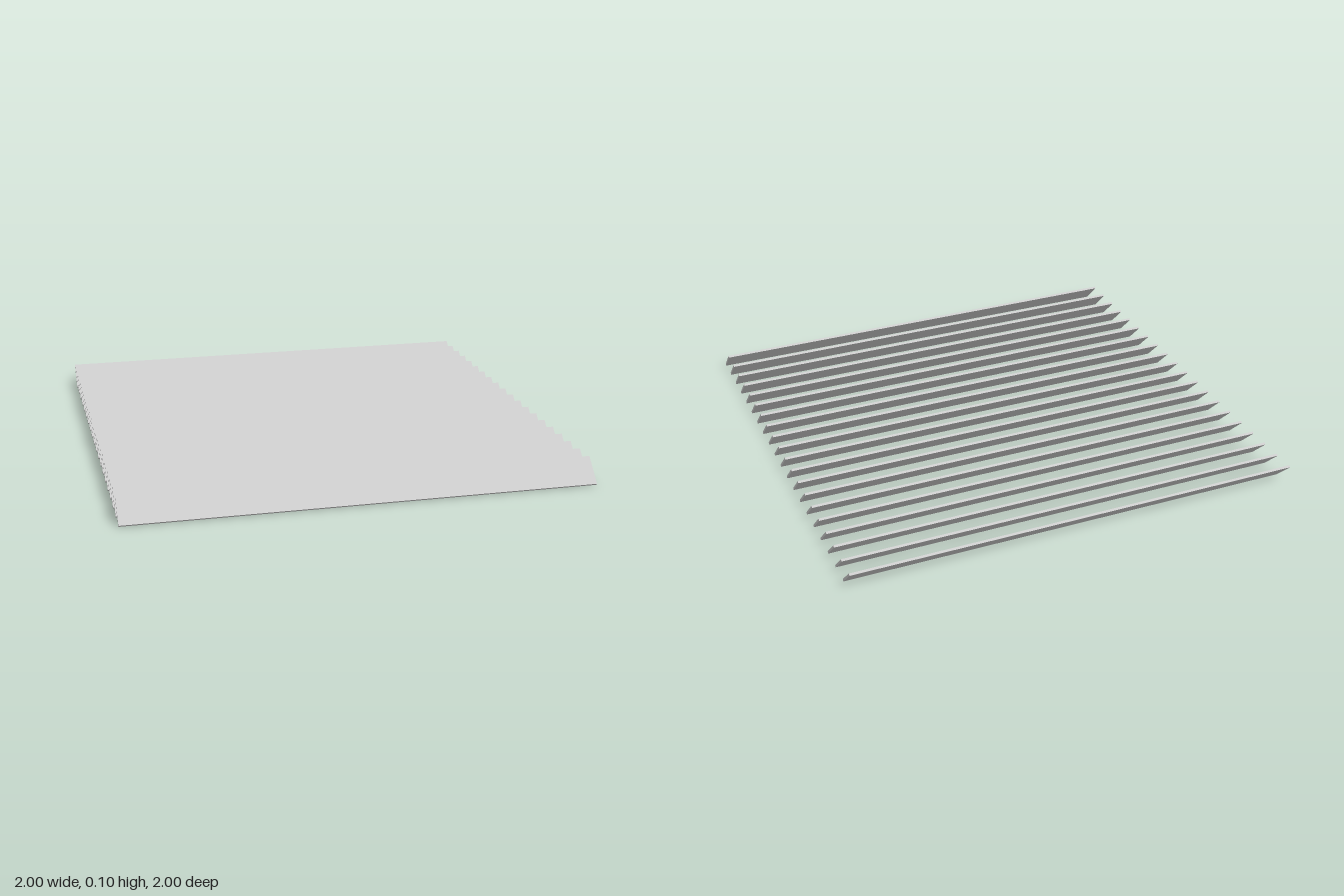
import * as THREE from 'three';

const COUNT = 20;
const WIDTH = 2;
const THICKNESS = 0.01;
const EXTENT = 0.099; // height and depth of one slat tilted by 45 degrees
const LENGTH = EXTENT * Math.SQRT2 - THICKNESS;

export function createModel() {
  const model = new THREE.Group();
  model.name = 'louvre';

  const material = new THREE.MeshStandardMaterial({ color: 0xcccccc, flatShading: true });
  const geometry = new THREE.BoxGeometry(WIDTH, THICKNESS, LENGTH);
  const pitch = (2 - EXTENT) / (COUNT - 1);

  // Row of parallel slats, low edge at the front and high edge at the back
  for (let i = 0; i < COUNT; i++) {
    const slat = new THREE.Mesh(geometry, material);
    slat.name = `slat${i + 1}`;
    slat.rotation.x = Math.PI / 4;
    slat.position.set(0, EXTENT / 2, (i - (COUNT - 1) / 2) * pitch);
    model.add(slat);
  }
  return model;
}
